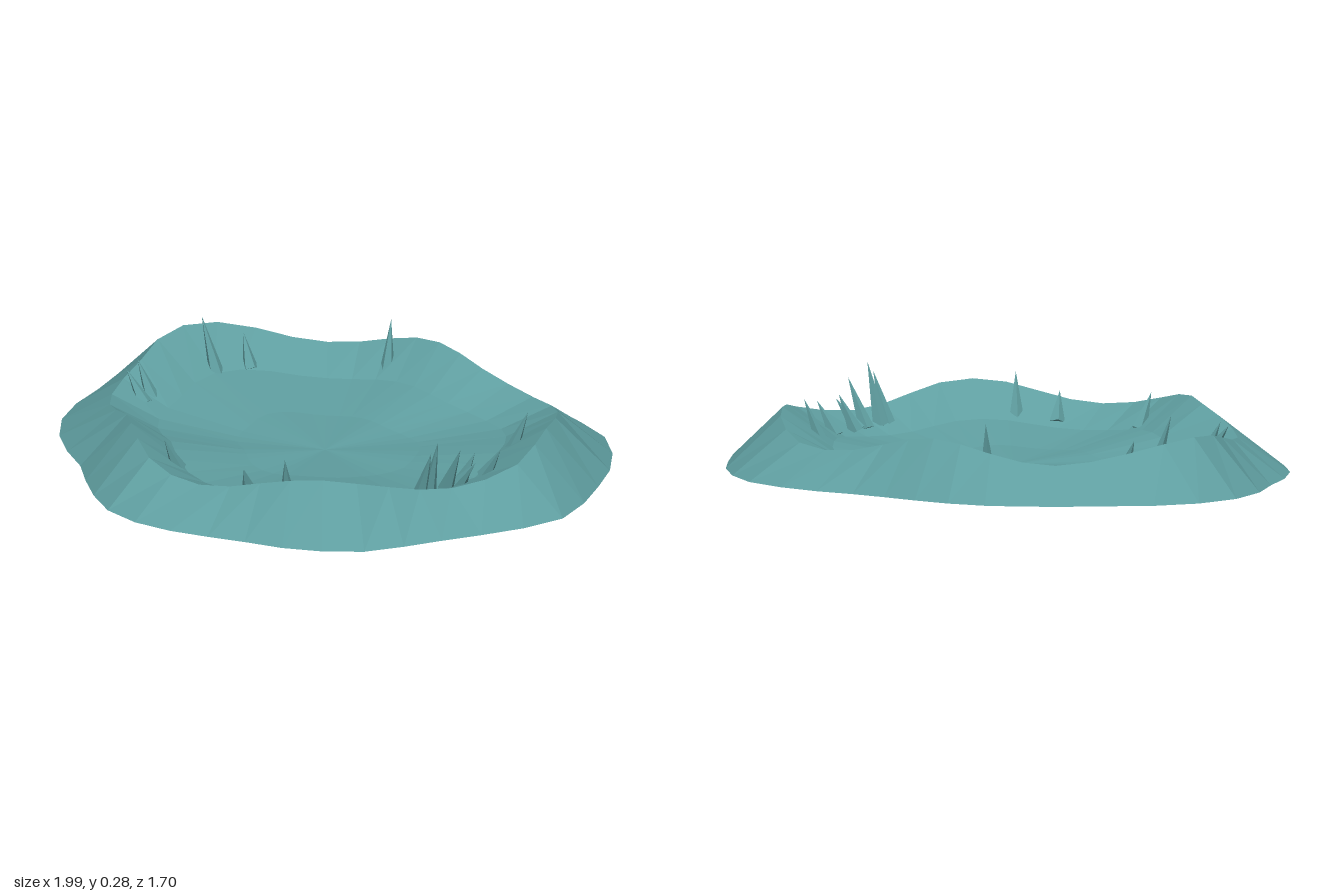
import * as THREE from 'three';

const SEGMENTS = 40;
const CENTRE = { x: -0.005, z: -0.04 };

// Outer radius every 15 degrees, from +x towards +z
const RADII = [
  1.0, 0.925, 0.885, 0.905, 0.88, 0.85, 0.88, 0.905, 0.865, 0.836, 0.9, 0.945,
  0.955, 1.02, 1.0, 0.91, 0.868, 0.842, 0.802, 0.796, 0.87, 0.955, 0.975, 0.975,
];

// Smooth closed interpolation of the radii
function outerRadius(angle) {
  const n = RADII.length;
  const t = (angle / (Math.PI * 2)) * n;
  const i = Math.floor(t), f = t - i;
  const [a, b, c, d] = [-1, 0, 1, 2].map((k) => RADII[(i + k + n) % n]);
  return b + 0.5 * f * (c - a + f * (2 * a - 5 * b + 4 * c - d + f * (3 * (b - c) + d - a)));
}

// Five waves run round the rim
const rimHeight = (angle) => 0.152 - 0.038 * Math.sin(5 * angle);

// Rings from the foot over the rim to the floor: radius factor and height rule
const RINGS = [
  [1, () => 0],
  [0.81, rimHeight],
  [0.63, (a) => 0.4 * rimHeight(a)],
  [0.33, (a) => 0.15 * rimHeight(a)],
];

function craterGeometry() {
  const positions = [], index = [];
  for (const [factor, height] of RINGS) {
    for (let i = 0; i < SEGMENTS; i++) {
      const a = (i / SEGMENTS) * Math.PI * 2;
      const r = outerRadius(a) * factor;
      positions.push(CENTRE.x + r * Math.cos(a), height(a), CENTRE.z + r * Math.sin(a));
    }
  }
  const middle = positions.length / 3;
  positions.push(CENTRE.x, 0.01, CENTRE.z);
  for (let k = 0; k < RINGS.length; k++) {
    for (let i = 0; i < SEGMENTS; i++) {
      const j = (i + 1) % SEGMENTS;
      const a = k * SEGMENTS + i, b = k * SEGMENTS + j;
      if (k === RINGS.length - 1) index.push(a, middle, b);
      else index.push(a, a + SEGMENTS, b, b, a + SEGMENTS, b + SEGMENTS);
    }
  }
  const geometry = new THREE.BufferGeometry();
  geometry.setAttribute('position', new THREE.Float32BufferAttribute(positions, 3));
  geometry.setIndex(index);
  geometry.computeVertexNormals();
  return geometry;
}

// Spikes leaning outwards: base x, base z, tip x, tip z, tip height
const SPIKES = [
  [-0.165, -0.605, -0.18, -0.65, 0.245],
  [-0.56, -0.365, -0.615, -0.395, 0.18],
  [-0.625, -0.26, -0.695, -0.27, 0.255],
  [-0.67, 0.045, -0.735, 0.04, 0.19],
  [-0.66, 0.1, -0.74, 0.095, 0.17],
  [-0.22, 0.5, -0.24, 0.555, 0.185],
  [0.1, 0.53, 0.11, 0.575, 0.165],
  [0.235, 0.495, 0.26, 0.545, 0.225],
  [0.6, -0.275, 0.66, -0.295, 0.225],
  [0.65, -0.06, 0.72, -0.06, 0.18],
  [0.63, 0.055, 0.685, 0.04, 0.19],
  [0.63, 0.075, 0.71, 0.07, 0.17],
  [0.62, 0.12, 0.695, 0.135, 0.235],
  [0.6, 0.19, 0.66, 0.215, 0.28],
  [0.585, 0.22, 0.65, 0.24, 0.245],
];

function makeSpike([bx, bz, tx, tz, ty], material) {
  const base = new THREE.Vector3(bx, 0.065, bz);
  const axis = new THREE.Vector3(tx, ty, tz).sub(base);
  const length = axis.length();
  const geometry = new THREE.ConeGeometry(0.028, length, 5);
  geometry.translate(0, length / 2, 0);
  const spike = new THREE.Mesh(geometry, material);
  spike.name = 'spike';
  spike.position.copy(base);
  spike.quaternion.setFromUnitVectors(new THREE.Vector3(0, 1, 0), axis.normalize());
  return spike;
}

export function createModel() {
  const rock = new THREE.MeshStandardMaterial({
    color: 0x5f9ea0, flatShading: true, side: THREE.DoubleSide,
  });
  rock.name = 'teal rock';

  const model = new THREE.Group();
  model.name = 'crater';

  // Open shell: outer slope, wavy rim, inner wall and floor
  const shell = new THREE.Mesh(craterGeometry(), rock);
  shell.name = 'craterShell';
  model.add(shell);

  // Spikes along the foot of the inner wall
  const spikes = new THREE.Group();
  spikes.name = 'spikes';
  for (const s of SPIKES) spikes.add(makeSpike(s, rock));
  model.add(spikes);

  return model;
}
